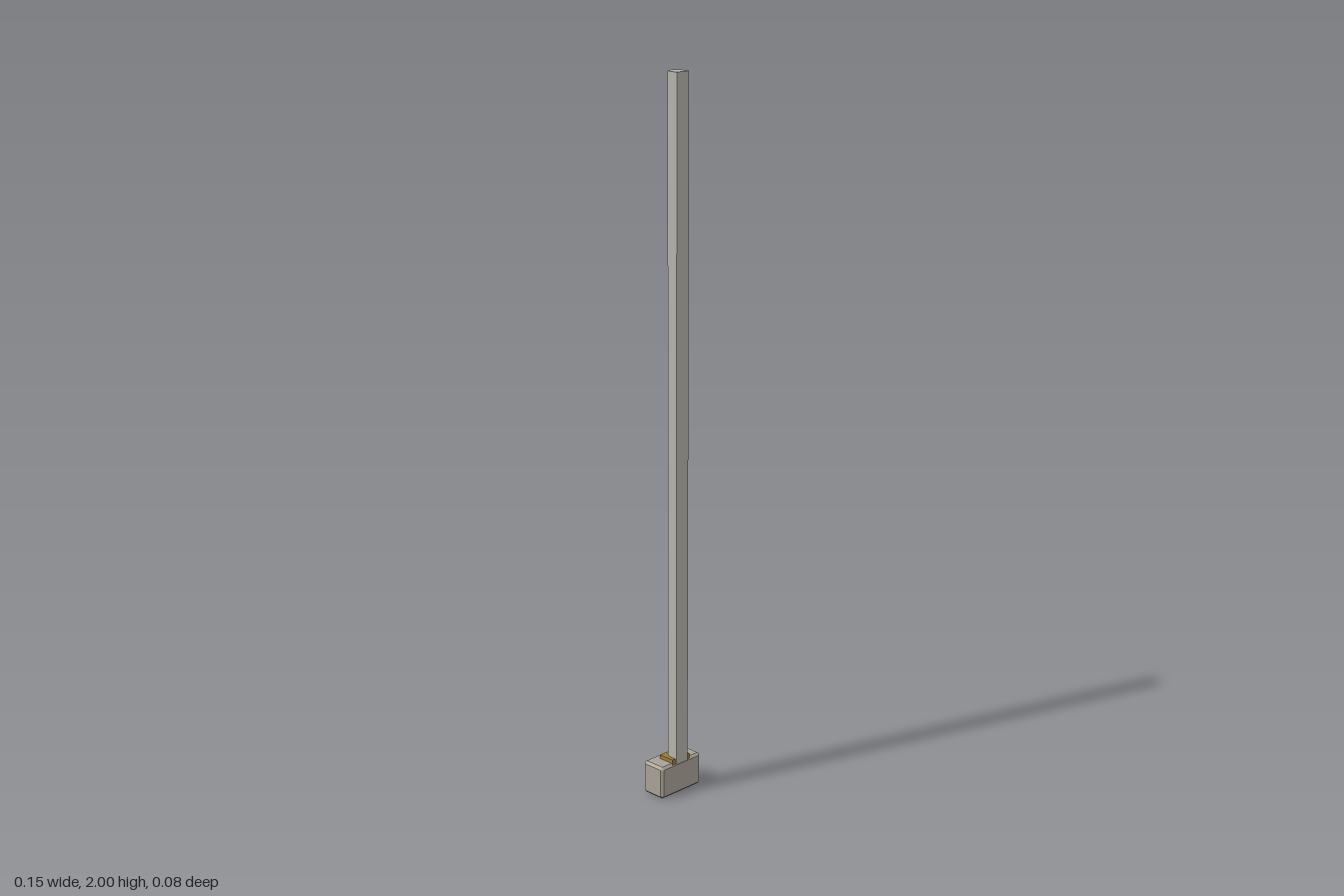
import * as THREE from 'three';
import { ConvexGeometry } from 'three/addons/geometries/ConvexGeometry.js';

// Box with every edge and corner cut flat
function chamferedBox(w, h, d, c) {
  const points = [];
  for (const sx of [-1, 1]) for (const sy of [-1, 1]) for (const sz of [-1, 1]) {
    const [x, y, z] = [w / 2, h / 2, d / 2];
    points.push(
      new THREE.Vector3(sx * x, sy * (y - c), sz * (z - c)),
      new THREE.Vector3(sx * (x - c), sy * y, sz * (z - c)),
      new THREE.Vector3(sx * (x - c), sy * (y - c), sz * z));
  }
  return new ConvexGeometry(points);
}

// Plan outline given as [x, z], raised from y0 to y1
function prism(outline, y0, y1) {
  const shape = new THREE.Shape(outline.map(([x, z]) => new THREE.Vector2(x, -z)));
  const geometry = new THREE.ExtrudeGeometry(shape, { depth: y1 - y0, bevelEnabled: false });
  return geometry.rotateX(-Math.PI / 2).translate(0, y0, 0);
}

export function createModel() {
  const model = new THREE.Group();
  const add = (name, geometry, color) => {
    const material = new THREE.MeshStandardMaterial({ color, flatShading: true });
    const mesh = new THREE.Mesh(geometry, material);
    mesh.name = name;
    model.add(mesh);
    return mesh;
  };

  // Chamfered foot block
  add('base', chamferedBox(0.152, 0.095, 0.075, 0.007), 0xa8a196).position.set(0, 0.0475, -0.001);

  // Thin brass plate around the foot of the pole
  add('collar', prism([[-0.033, 0.034], [0.033, 0.034], [0.033, -0.016], [-0.033, -0.016]], 0.09, 0.106), 0x9a7a38);

  // Tall pole: flat front, faceted round back
  const outline = [
    [-0.022, 0.038], [0.022, 0.038], [0.022, 0.013], [0.016, -0.001],
    [0, -0.007], [-0.016, -0.001], [-0.022, 0.013],
  ];
  add('pole', prism(outline, 0.09, 2), 0xb4b2aa);

  return model;
}
